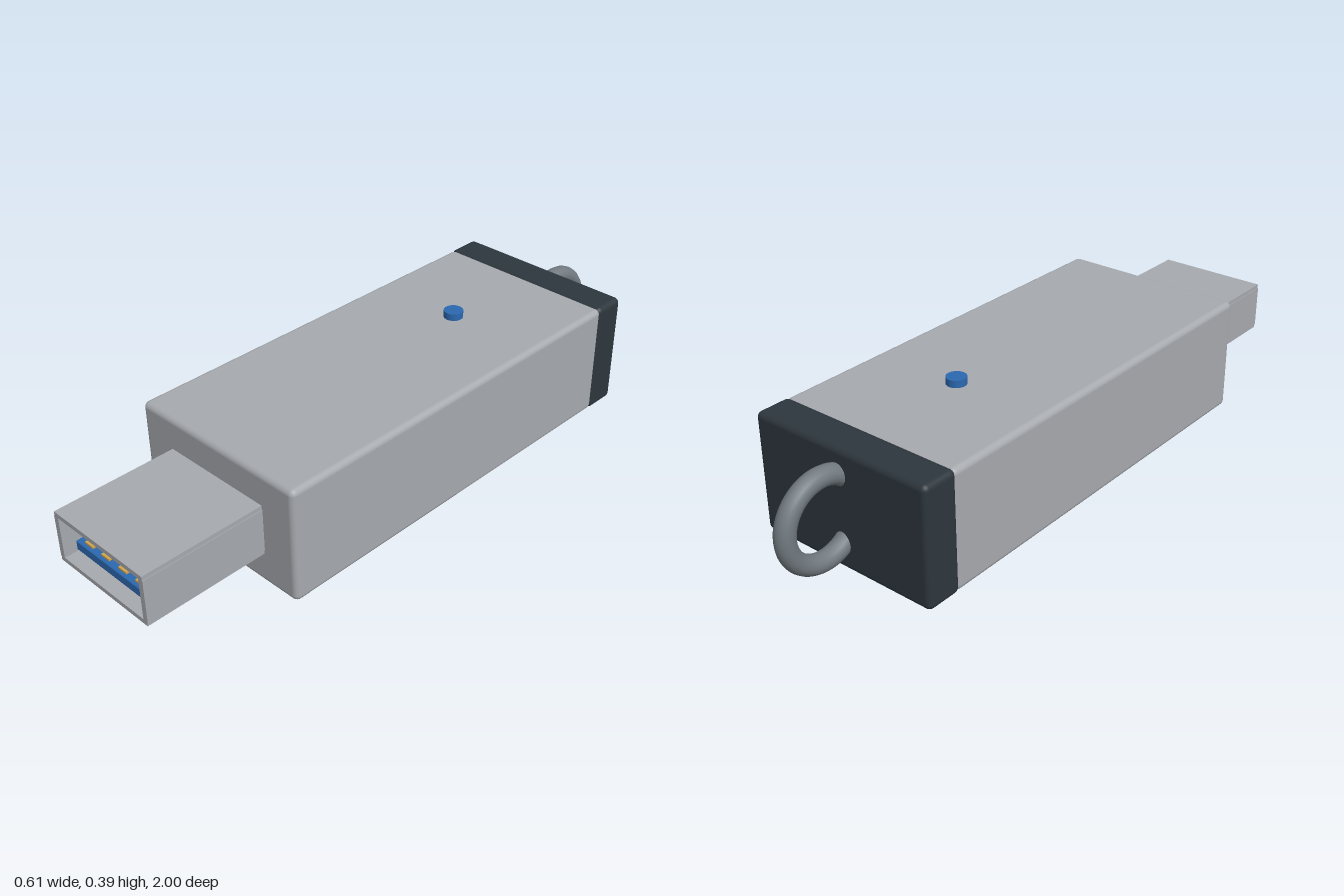
import * as THREE from 'three';
import { RoundedBoxGeometry } from 'three/addons/geometries/RoundedBoxGeometry.js';

const material = (name, color) => {
  const m = new THREE.MeshStandardMaterial({ color });
  m.name = name;
  return m;
};

export function createModel() {
  const model = new THREE.Group();
  model.name = 'usbStick';

  const silver = material('silver', 0xa6a9ae);
  const charcoal = material('charcoal', 0x2d363d);
  const steel = material('steel', 0x727a80);
  const blue = material('blue', 0x2c69b0);
  const gold = material('gold', 0xd2a54c);

  const add = (name, geometry, mat, parent = model) => {
    const mesh = new THREE.Mesh(geometry, mat);
    mesh.name = name;
    parent.add(mesh);
    return mesh;
  };

  // Box given by its limits on each axis, with optional rounded edges
  const box = (name, [x0, x1], [y0, y1], [z0, z1], mat, radius = 0, parent = model) => {
    const size = [x1 - x0, y1 - y0, z1 - z0];
    const geometry = radius
      ? new RoundedBoxGeometry(...size, 4, radius)
      : new THREE.BoxGeometry(...size);
    const mesh = add(name, geometry, mat, parent);
    mesh.position.set((x0 + x1) / 2, (y0 + y1) / 2, (z0 + z1) / 2);
    return mesh;
  };

  // Housing and rear cap
  box('body', [-0.302, 0.302], [0.002, 0.364], [-0.685, 0.617], silver, 0.018);
  box('endCap', [-0.303, 0.303], [0, 0.366], [-0.787, -0.672], charcoal, 0.018);

  // Hollow plug shell made of four plates
  const plug = new THREE.Group();
  plug.name = 'plug';
  model.add(plug);
  const plugZ = [0.6, 1];
  box('shellTop', [-0.182, 0.182], [0.249, 0.263], plugZ, silver, 0, plug);
  box('shellBottom', [-0.182, 0.182], [0.104, 0.118], plugZ, silver, 0, plug);
  box('shellLeft', [0.167, 0.184], [0.117, 0.25], plugZ, silver, 0, plug);
  box('shellRight', [-0.184, -0.167], [0.117, 0.25], plugZ, silver, 0, plug);

  // Tongue with four contacts
  box('tongue', [-0.151, 0.151], [0.138, 0.168], [0.6, 0.97], blue, 0.004, plug);
  for (const x of [-0.106, -0.036, 0.036, 0.106]) {
    box('contact', [x - 0.0165, x + 0.0165], [0.166, 0.174], [0.68, 0.96], gold, 0, plug);
  }

  // Indicator button on top
  const button = add('button', new THREE.CylinderGeometry(0.03, 0.03, 0.022, 32), blue);
  button.position.set(0, 0.375, -0.335);

  // Key ring standing upright in the cap
  const ring = add('keyRing', new THREE.TorusGeometry(0.122, 0.029, 16, 64), steel);
  ring.rotation.y = Math.PI / 2;
  ring.position.set(0, 0.186, -0.849);

  return model;
}
